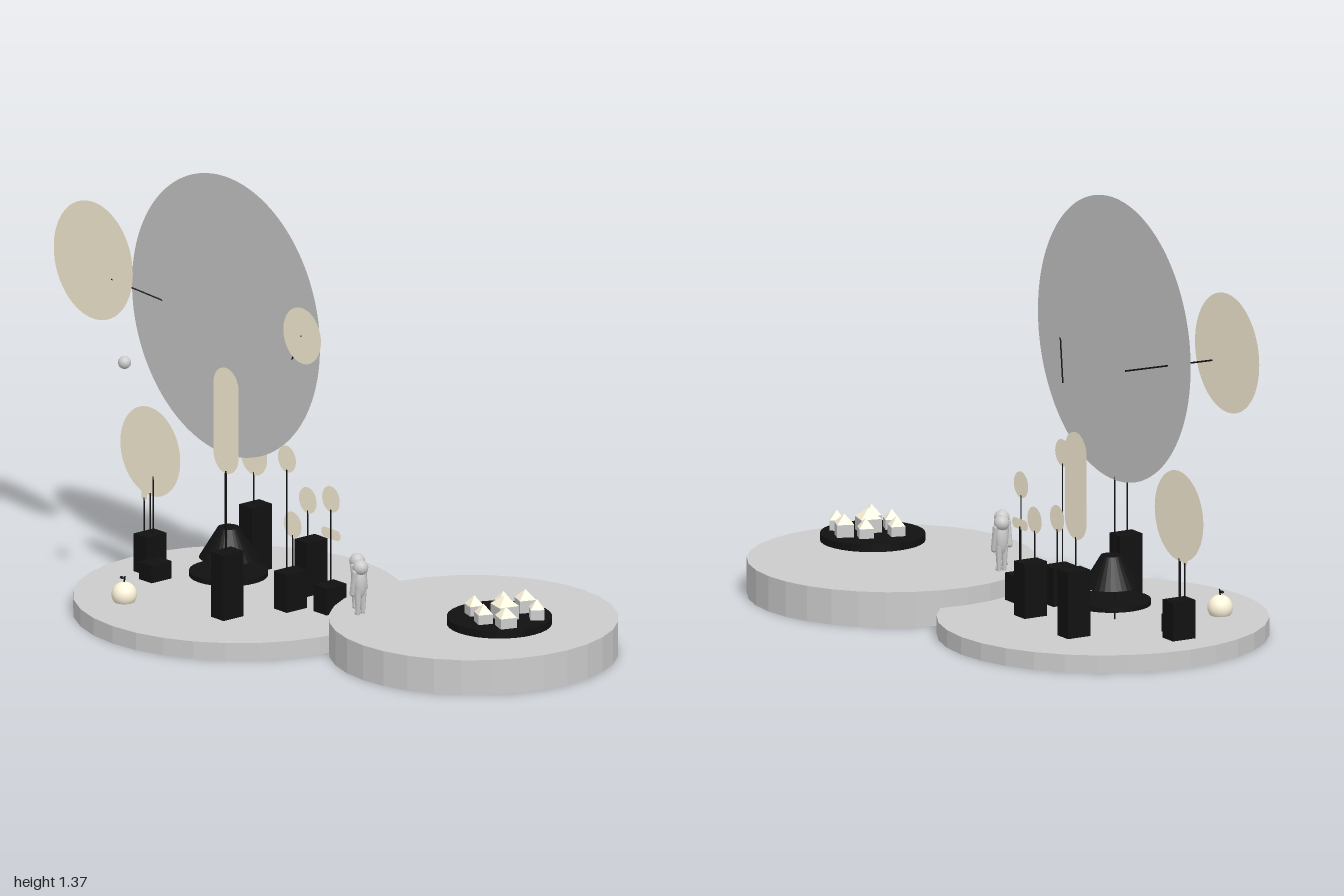
import * as THREE from 'three';

const mat = (color, extra = {}) => new THREE.MeshStandardMaterial({ color, ...extra });
const grey = mat(0xcccccc);
const greyFlat = mat(0xcccccc, { flatShading: true });
const greySheet = mat(0xcccccc, { side: THREE.DoubleSide });
const black = mat(0x111111, { flatShading: true });
const cream = mat(0xfff6dc);
const creamFlat = mat(0xfff6dc, { flatShading: true });
const creamSheet = mat(0xfff6dc, { side: THREE.DoubleSide });

export function createModel() {
  const model = new THREE.Group();

  function add(name, geometry, material, x, y, z, parent = model) {
    const mesh = new THREE.Mesh(geometry, material);
    mesh.name = name;
    mesh.position.set(x, y, z);
    parent.add(mesh);
    return mesh;
  }

  // Cylinder or cone section standing between two heights
  function drum(name, r0, r1, y0, y1, x, z, material, sides = 32) {
    return add(name, new THREE.CylinderGeometry(r1, r0, y1 - y0, sides), material, x, (y0 + y1) / 2, z);
  }

  // Thin straight rod between two points
  function rod(name, a, b, r = 0.0025) {
    const p = new THREE.Vector3(...a), q = new THREE.Vector3(...b);
    const mid = p.clone().add(q).multiplyScalar(0.5);
    const mesh = add(name, new THREE.CylinderGeometry(r, r, p.distanceTo(q), 6), black, mid.x, mid.y, mid.z);
    mesh.quaternion.setFromUnitVectors(new THREE.Vector3(0, 1, 0), q.sub(p).normalize());
  }

  // Flat upright panel with fully rounded ends (a circle when w equals h)
  function panel(name, w, h, x, y, z, material = creamSheet) {
    const r = Math.min(w, h) / 2, dx = w / 2 - r, dy = h / 2 - r;
    const s = new THREE.Shape();
    s.absarc(dx, dy, r, 0, Math.PI / 2);
    s.absarc(-dx, dy, r, Math.PI / 2, Math.PI);
    s.absarc(-dx, -dy, r, Math.PI, Math.PI * 1.5);
    s.absarc(dx, -dy, r, Math.PI * 1.5, Math.PI * 2);
    add(name, new THREE.ShapeGeometry(s, 16), material, x, y, z);
  }

  // Two overlapping round podiums
  const floor = 0.055;
  drum('lowPodium', 0.505, 0.505, 0, floor, -0.22, 0.1, greyFlat);
  drum('highPodium', 0.44, 0.44, 0, 0.11, 0.56, -0.17, greyFlat);

  // Central stand with the large disc
  drum('standPlate', 0.12, 0.12, 0.105, 0.12, -0.27, 0.1, black);
  drum('standCone', 0.09, 0.033, 0.163, 0.257, -0.27, 0.1, black);
  rod('standPole', [-0.27, floor, 0.112], [-0.27, 0.5, 0.112]);
  panel('largeDisc', 0.88, 0.88, -0.27, 0.93, 0.11, greySheet);

  // Side discs carried on slanted rods
  panel('rightSideDisc', 0.37, 0.37, -0.815, 0.99, 0.175);
  panel('leftSideDisc', 0.176, 0.176, 0.163, 0.98, 0.175);
  rod('rightArm', [-0.73, 0.95, 0.175], [-0.43, 0.87, 0.05]);
  rod('leftArm', [0.16, 0.98, 0.175], [-0.07, 0.76, 0.05]);

  // Black blocks: x, z, top
  const blocks = [
    [-0.385, -0.105, 0.262], [-0.095, -0.08, 0.225], [0.088, 0, 0.14], [-0.01, 0.075, 0.175],
    [-0.07, 0.275, 0.262], [-0.578, 0.15, 0.175], [-0.507, 0.19, 0.11],
  ];
  for (const [x, z, top] of blocks)
    add('block', new THREE.BoxGeometry(0.06, top - floor, 0.08), black, x, (top + floor) / 2, z);

  // Panels on thin poles: width, height, x, centre y, z
  const signs = [
    [0.117, 0.335, -0.07, 0.677, 0.28], [0.125, 0.335, -0.387, 0.522, -0.1],
    [0.28, 0.28, -0.575, 0.435, 0.152], [0.028, 0.09, -0.588, 0.325, 0.165],
    [0.08, 0.08, -0.507, 0.412, 0.198], [0.082, 0.082, -0.093, 0.35, -0.065],
    [0.084, 0.084, -0.02, 0.527, 0.08], [0.082, 0.082, -0.005, 0.32, 0.07],
    [0.082, 0.082, 0.098, 0.412, 0.005], [0.09, 0.032, 0.08, 0.295, -0.01],
  ];
  for (const [w, h, x, y, z] of signs) {
    panel('signPanel', w, h, x, y, z);
    rod('signPole', [x, floor, z], [x, y - h / 2 + 0.008, z]);
  }

  // Round table with a cluster of small houses: x, z, width, wall top, turn
  const table = 0.156;
  drum('tableTop', 0.16, 0.16, 0.133, table, 0.71, -0.145, black);
  const houses = [
    [0.72, -0.24, 0.052, 0.195, 0.4], [0.803, -0.215, 0.043, 0.188, 0.6], [0.67, -0.195, 0.045, 0.186, 0.4],
    [0.735, -0.145, 0.065, 0.198, 0.25], [0.645, -0.1, 0.045, 0.186, 0.3], [0.805, -0.09, 0.052, 0.188, 0.35],
    [0.73, -0.065, 0.045, 0.186, 0.4],
  ];
  for (const [x, z, w, top, turn] of houses) {
    const house = new THREE.Group();
    house.name = 'house';
    house.position.set(x, 0, z);
    house.rotation.y = -turn;
    add('houseWalls', new THREE.BoxGeometry(w, top - table, w), greyFlat, 0, (top + table) / 2, 0, house);
    const roof = add('houseRoof', new THREE.ConeGeometry(w * 0.71, 0.03, 4), creamFlat, 0, top + 0.015, 0, house);
    roof.rotation.y = Math.PI / 4;
    model.add(house);
  }

  // Two small standing figures turned towards each other
  for (const [x, z, dir] of [[0.25, 0.03, 1], [0.31, 0.068, -1]]) {
    const figure = new THREE.Group();
    figure.name = 'figure';
    figure.position.set(x, 0.11, z);
    add('figureHead', new THREE.SphereGeometry(0.024, 14, 10), grey, 0, 0.148, 0, figure);
    add('figureTorso', new THREE.SphereGeometry(1, 14, 10), grey, 0, 0.1, 0, figure).scale.set(0.017, 0.05, 0.021);
    for (const side of [-1, 1]) {
      const arm = add('figureArm', new THREE.CapsuleGeometry(0.01, 0.07, 4, 8), grey, dir * 0.009, 0.1, side * 0.018, figure);
      arm.rotation.z = dir * 0.15;
      const leg = new THREE.CylinderGeometry(0.012, 0.006, 0.08, 8);
      add('figureLeg', leg, grey, 0, 0.04, side * 0.01, figure);
      add('figureFoot', new THREE.SphereGeometry(0.008, 8, 6), grey, dir * 0.005, 0.006, side * 0.01, figure);
    }
    model.add(figure);
  }

  // Round fruit with stem and leaf, and the small ball floating above
  add('fruit', new THREE.SphereGeometry(0.039, 20, 14), cream, -0.39, 0.078, 0.413);
  rod('fruitStem', [-0.392, 0.11, 0.413], [-0.386, 0.135, 0.413]);
  add('fruitLeaf', new THREE.SphereGeometry(1, 8, 6), black, -0.4, 0.128, 0.413).scale.set(0.01, 0.004, 0.005);
  add('floatingBall', new THREE.SphereGeometry(0.02, 16, 12), grey, -0.41, 0.805, 0.395);

  return model;
}
